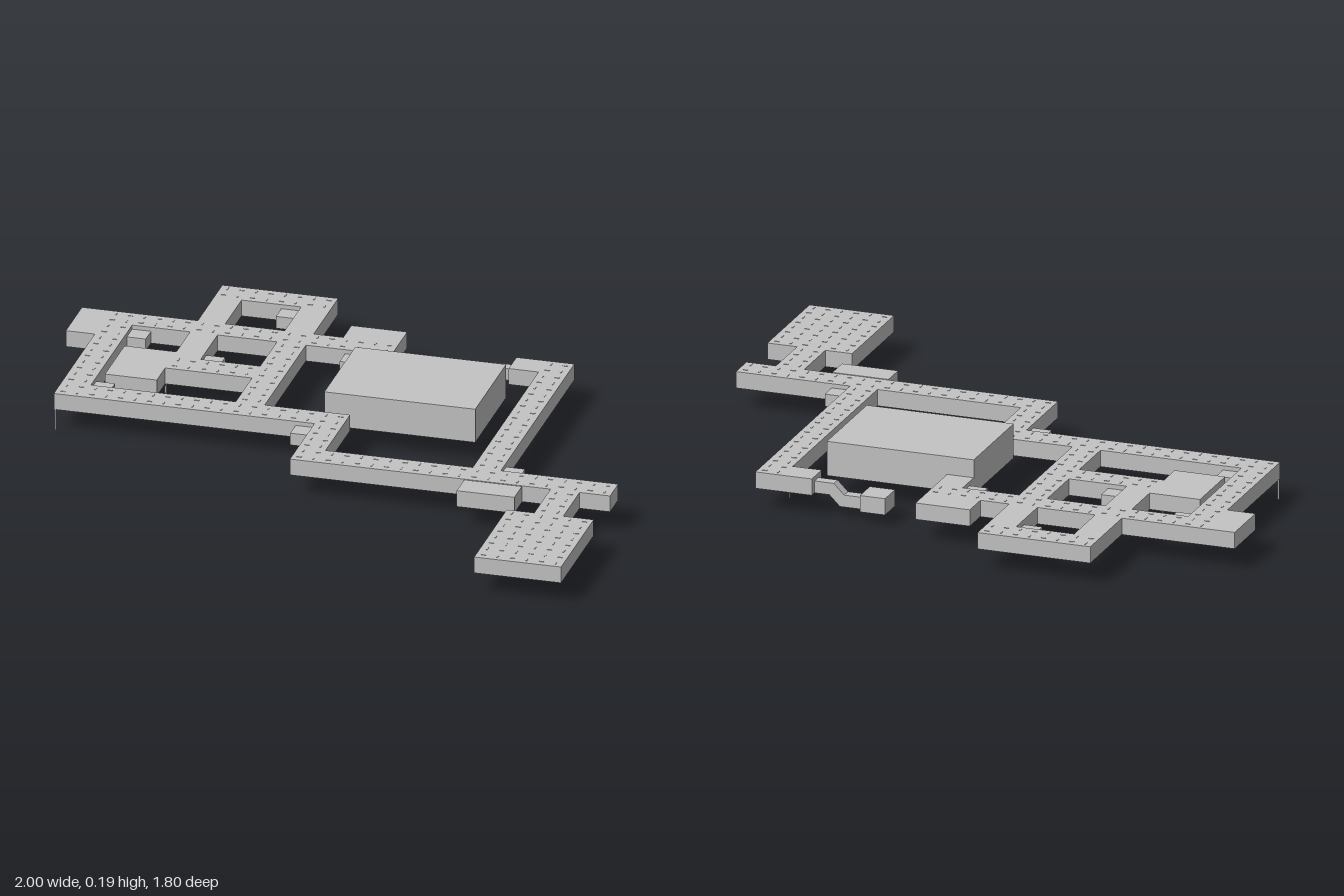
import * as THREE from 'three';
import { mergeGeometries } from 'three/addons/utils/BufferGeometryUtils.js';

const FLOOR = 0.07, TOP = 0.125;

export function createModel() {
  const model = new THREE.Group();
  const stone = new THREE.MeshStandardMaterial({ color: 0xc4c4c4 });
  stone.name = 'light grey stone';

  const add = (name, geometry) => {
    const mesh = new THREE.Mesh(geometry, stone);
    mesh.name = name;
    model.add(mesh);
  };
  // Box given by its extents on each axis
  const boxGeo = (x0, x1, z0, z1, y0 = FLOOR, y1 = TOP) =>
    new THREE.BoxGeometry(x1 - x0, y1 - y0, z1 - z0)
      .translate((x0 + x1) / 2, (y0 + y1) / 2, (z0 + z1) / 2);
  const points = (list) => list.map(([x, z]) => new THREE.Vector2(x, z));

  // Connected walkways, as one slab with three courtyards
  const plan = new THREE.Shape(points([
    [-0.905, -0.62], [-0.62, -0.62], [-0.62, -0.905], [-0.24, -0.905], [-0.24, -0.62],
    [0.04, -0.62], [0.04, -0.43], [-0.05, -0.43], [-0.05, -0.53], [-0.24, -0.53],
    [-0.24, -0.05], [0.04, -0.05], [0.04, 0.235], [0.523, 0.235], [0.523, -0.53],
    [0.425, -0.53], [0.425, -0.62], [0.615, -0.62], [0.615, 0.235], [1, 0.235],
    [1, 0.33], [0.9, 0.33], [0.9, 0.52], [1, 0.52], [1, 0.9], [0.715, 0.9],
    [0.715, 0.52], [0.805, 0.52], [0.805, 0.33], [-0.05, 0.33], [-0.05, 0.045], [-0.905, 0.045],
  ]));
  for (const court of [
    [[-0.53, -0.81], [-0.335, -0.81], [-0.335, -0.62], [-0.53, -0.62]],
    [[-0.53, -0.53], [-0.335, -0.53], [-0.335, -0.335], [-0.53, -0.335]],
    [[-0.81, -0.53], [-0.62, -0.53], [-0.62, -0.24], [-0.335, -0.24], [-0.335, -0.05], [-0.81, -0.05]],
  ]) plan.holes.push(new THREE.Path(points(court)));
  add('walkways', new THREE.ExtrudeGeometry(plan, { depth: TOP - FLOOR, bevelEnabled: false })
    .rotateX(Math.PI / 2).translate(0, TOP, 0));

  // Plain rooms set against the walkways
  add('mainHall', boxGeo(-0.05, 0.445, -0.43, -0.07, FLOOR, 0.185));
  add('innerRoom', boxGeo(-0.79, -0.62, -0.37, -0.143));
  add('westRoom', boxGeo(-1, -0.905, -0.62, -0.432));
  add('northRoom', boxGeo(-0.143, 0.04, -0.715, -0.62));
  add('southRoom', boxGeo(0.523, 0.712, 0.335, 0.422));

  // Small cabinets in the corners
  for (const [x, z] of [
    [-0.4, -0.81], [-0.53, -0.4], [-0.81, -0.53], [-0.81, -0.112],
    [-0.112, -0.53], [-0.112, 0.045], [0.615, 0.173],
  ]) add('cornerCabinet', boxGeo(x, x + 0.062, z, z + 0.062, FLOOR, 0.111));

  // Sunken chamber and the sloping passage up to the walkway
  add('sunkenRoom', boxGeo(0.178, 0.263, -0.62, -0.53, 0.035, 0.09));
  const passage = new THREE.Shape(points([
    [0.263, 0.035], [0.34, 0.035], [0.375, 0.07], [0.425, 0.07],
    [0.425, 0.11], [0.36, 0.11], [0.325, 0.075], [0.263, 0.075],
  ]));
  add('slopingPassage', new THREE.ExtrudeGeometry(passage, { depth: 0.035, bevelEnabled: false })
    .translate(0, 0, -0.595));

  // Thin pins below the slab
  for (const [x, z, y] of [[-0.9, 0.043, 0], [-0.615, -0.237, 0], [-0.615, -0.226, 0.045], [0.507, -0.6, 0.045]])
    add('pin', boxGeo(x - 0.002, x + 0.002, z - 0.002, z + 0.002, y, FLOOR));

  // Tiny raised paving marks along each walkway
  const marks = [];
  for (const [x0, x1, z0, z1] of [
    [-0.905, 0.04, -0.62, -0.53], [-0.62, -0.24, -0.905, -0.81], [-0.905, -0.81, -0.53, -0.05],
    [-0.335, -0.24, -0.53, -0.05], [-0.62, -0.335, -0.335, -0.24], [-0.905, 0.04, -0.05, 0.045],
    [-0.05, 0.04, 0.045, 0.235], [-0.05, 1, 0.235, 0.33], [0.523, 0.615, -0.62, 0.235],
    [0.805, 0.9, 0.33, 0.52], [0.715, 1, 0.52, 0.9],
  ]) {
    const nx = Math.round((x1 - x0) / 0.0475), nz = Math.round((z1 - z0) / 0.0475);
    for (let i = 0; i < nx; i++) for (let j = 0; j < nz; j++) {
      const x = x0 + (i + 0.5) * (x1 - x0) / nx, z = z0 + (j + 0.5) * (z1 - z0) / nz;
      const [w, d] = (i + j) % 2 ? [0.008, 0.002] : [0.002, 0.008];
      marks.push(boxGeo(x - w, x + w, z - d, z + d, TOP - 0.001, TOP + 0.0015));
    }
  }
  add('pavingMarks', mergeGeometries(marks));

  return model;
}
